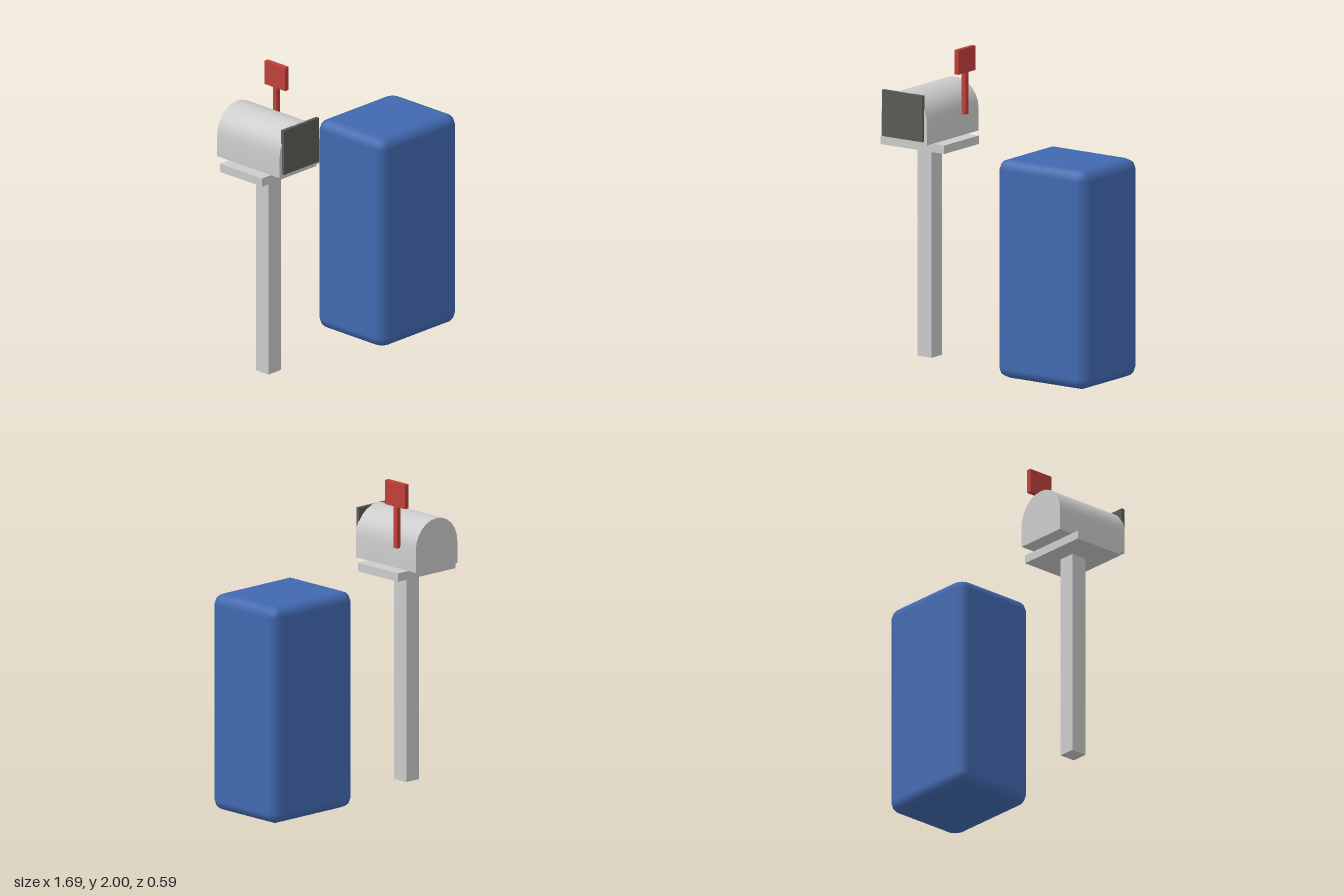
import * as THREE from 'three';
import { toCreasedNormals } from 'three/addons/utils/BufferGeometryUtils.js';

const mat = (color) => new THREE.MeshStandardMaterial({ color });

// Box whose edges are rounded in two steps, by moving a 3x3x3 grid box
function bevelledBox(w, h, d, r) {
  const geo = new THREE.BoxGeometry(1, 1, 1, 3, 3, 3);
  const pos = geo.attributes.position;
  const core = new THREE.Vector3(w / 2 - r, h / 2 - r, d / 2 - r);
  const step = (v) => (Math.abs(v) > 0.4 ? Math.sign(v) : 0);
  const p = new THREE.Vector3();
  const dir = new THREE.Vector3();
  for (let i = 0; i < pos.count; i++) {
    p.fromBufferAttribute(pos, i);
    dir.set(step(p.x), step(p.y), step(p.z)).normalize();
    pos.setXYZ(i,
      Math.sign(p.x) * core.x + dir.x * r,
      Math.sign(p.y) * core.y + dir.y * r,
      Math.sign(p.z) * core.z + dir.z * r);
    geo.attributes.normal.setXYZ(i, dir.x, dir.y, dir.z);
  }
  return geo;
}

export function createModel() {
  const model = new THREE.Group();
  model.name = 'mailboxes';

  const grey = mat(0xcccccc);
  const dark = mat(0x5a5a56);
  const red = mat(0xc0403a);
  const blue = mat(0x4169b0);

  const add = (parent, name, geo, material, x, y, z) => {
    const mesh = new THREE.Mesh(geo, material);
    mesh.name = name;
    mesh.position.set(x, y, z);
    parent.add(mesh);
    return mesh;
  };
  // Box given by its lowest and highest corner
  const box = (parent, name, material, [x0, y0, z0], [x1, y1, z1]) =>
    add(parent, name, new THREE.BoxGeometry(x1 - x0, y1 - y0, z1 - z0), material,
      (x0 + x1) / 2, (y0 + y1) / 2, (z0 + z1) / 2);

  // Post-mounted mailbox
  const mailbox = new THREE.Group();
  mailbox.name = 'postMailbox';
  model.add(mailbox);
  box(mailbox, 'post', grey, [-0.652, 0, -0.056], [-0.54, 1.37, 0.056]);
  box(mailbox, 'board', grey, [-0.846, 1.37, -0.185], [-0.346, 1.425, 0.185]);

  // Arched body: straight walls under a half circle
  const r = 0.182;
  const wall = 0.145;
  const arch = new THREE.Shape();
  arch.moveTo(-r, 0);
  arch.lineTo(r, 0);
  arch.lineTo(r, wall);
  arch.absarc(0, wall, r, 0, Math.PI, false);
  arch.closePath();
  const body = new THREE.ExtrudeGeometry(arch, { depth: 0.55, bevelEnabled: false, curveSegments: 6 });
  add(mailbox, 'body', toCreasedNormals(body, 0.6), grey, -0.596, 1.433, -0.275);

  box(mailbox, 'door', dark, [-0.757, 1.453, 0.268], [-0.437, 1.753, 0.292]);

  // Signal flag on the left side
  box(mailbox, 'flagArm', red, [-0.418, 1.57, -0.132], [-0.386, 1.845, -0.098]);
  box(mailbox, 'flagPlate', red, [-0.418, 1.842, -0.205], [-0.386, 2, -0.023]);

  // Large collection box
  add(model, 'collectionBox', bevelledBox(0.704, 1.42, 0.59, 0.068), blue, 0.49, 0.71, 0);

  return model;
}
